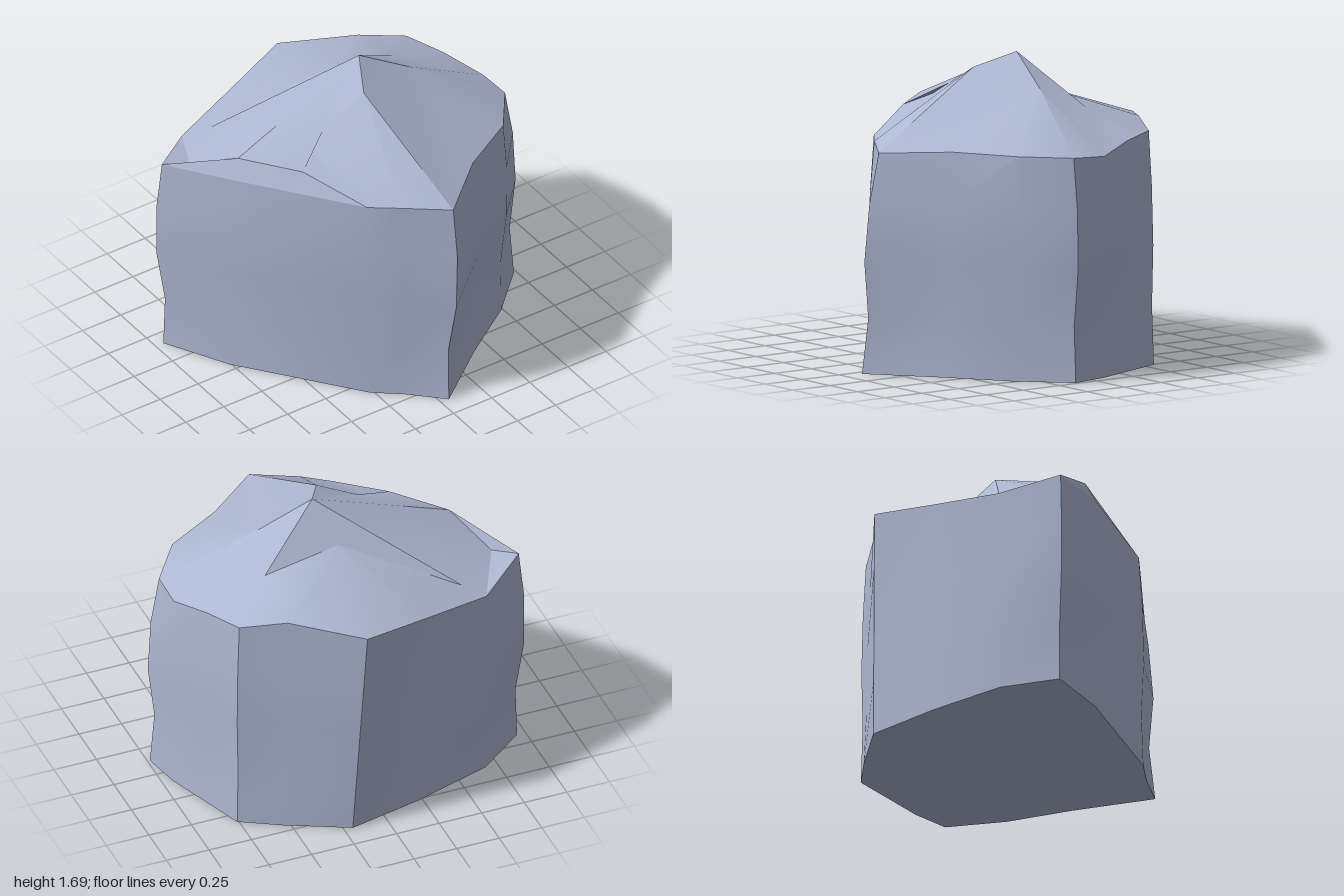
import * as THREE from 'three';
import { toCreasedNormals } from 'three/addons/utils/BufferGeometryUtils.js';

// Wall columns, counter-clockwise from the front corner:
// [base x, base z, rim x, rim y, rim z, bulge]
const columns = [
  [0.05, 0.88, 0.12, 1.22, 0.82, 1.2],
  [0.42, 0.59, 0.43, 1.24, 0.55, 0.6],
  [0.74, 0.37, 0.76, 1.24, 0.36, 0.6],
  [0.985, 0.13, 0.94, 1.23, 0.11, 1],
  [0.94, -0.09, 0.94, 1.22, -0.1, 0.5],
  [0.85, -0.33, 0.84, 1.27, -0.33, 0.4],
  [0.76, -0.57, 0.74, 1.29, -0.55, 0.3],
  [0.55, -0.69, 0.5, 1.33, -0.66, 0.2],
  [0.2, -0.86, 0.13, 1.28, -0.9, 0],
  [-0.24, -0.76, -0.26, 1.22, -0.77, 0],
  [-0.68, -0.62, -0.68, 1.16, -0.63, 0],
  [-0.95, -0.41, -0.96, 1.22, -0.41, 0.9],
  [-0.76, -0.05, -0.74, 1.25, -0.04, 0.6],
  [-0.27, 0.59, -0.27, 1.24, 0.56, 0.4],
  [-0.12, 0.71, -0.12, 1.24, 0.67, 0.5],
];

// Breaks in the sloping top, and which one each column runs up to
const apex = [0.13, 1.69, -0.11];
const breaks = {
  front: [0.02, 1.61, 0.1],
  left: [0.43, 1.52, -0.05],
  backLeft: [0.49, 1.41, -0.31],
  back: [0.05, 1.48, -0.29],
  backRight: [-0.57, 1.21, -0.55],
  rightEnd: [-0.84, 1.21, -0.31],
  right: [-0.69, 1.36, -0.07],
  shoulder: [-0.46, 1.35, 0.22],
  frontRight: [-0.37, 1.41, 0.08],
};
const slopes = ['front', 'left', 'left', 'left', 'left', 'backLeft', 'backLeft', 'backLeft',
  'back', 'back', 'backRight', 'rightEnd', 'right', 'shoulder', 'frontRight'];

// Height fraction and outward swelling of each level of the walls
const levels = [[0, 0], [0.25, -0.012], [0.51, 0.038], [0.77, 0.035], [1, 0]];

function wallRing([t, swell]) {
  return columns.map(([bx, bz, rx, ry, rz, bulge]) => {
    const x = bx + (rx - bx) * t, z = bz + (rz - bz) * t;
    const k = 1 + swell * bulge / Math.hypot(x, z);
    return [x * k, ry * t, z * k];
  });
}

function facets(triangles) {
  const same = (a, b) => a.every((v, i) => v === b[i]);
  const solid = triangles.filter(([a, b, c]) => !same(a, b) && !same(b, c) && !same(a, c));
  const geometry = new THREE.BufferGeometry();
  geometry.setAttribute('position', new THREE.Float32BufferAttribute(solid.flat(2), 3));
  return toCreasedNormals(geometry, 0.42);
}

// Band of triangles between two rings, lower ring first
function band(lower, upper) {
  return lower.flatMap((a, i) => {
    const j = (i + 1) % lower.length;
    return [[a, lower[j], upper[j]], [a, upper[j], upper[i]]];
  });
}

function fan(ring, center) {
  return ring.map((a, i) => [a, ring[(i + 1) % ring.length], center]);
}

export function createModel() {
  const group = new THREE.Group();
  group.name = 'rock';
  const material = new THREE.MeshStandardMaterial({ color: 0xaeb7d2 });
  const add = (name, triangles) => {
    const mesh = new THREE.Mesh(facets(triangles), material);
    mesh.name = name;
    group.add(mesh);
  };

  const rings = levels.map(wallRing);
  const slopeRing = slopes.map((name) => breaks[name]);

  // Upright faceted sides
  add('rockWalls', rings.slice(1).flatMap((ring, i) => band(rings[i], ring)));

  // Sloping top rising to an off-centre peak
  add('rockTop', [...band(rings.at(-1), slopeRing), ...fan(slopeRing, apex)]);

  // Flat underside
  add('rockBase', fan([...rings[0]].reverse(), [0, 0, 0]));

  return group;
}
